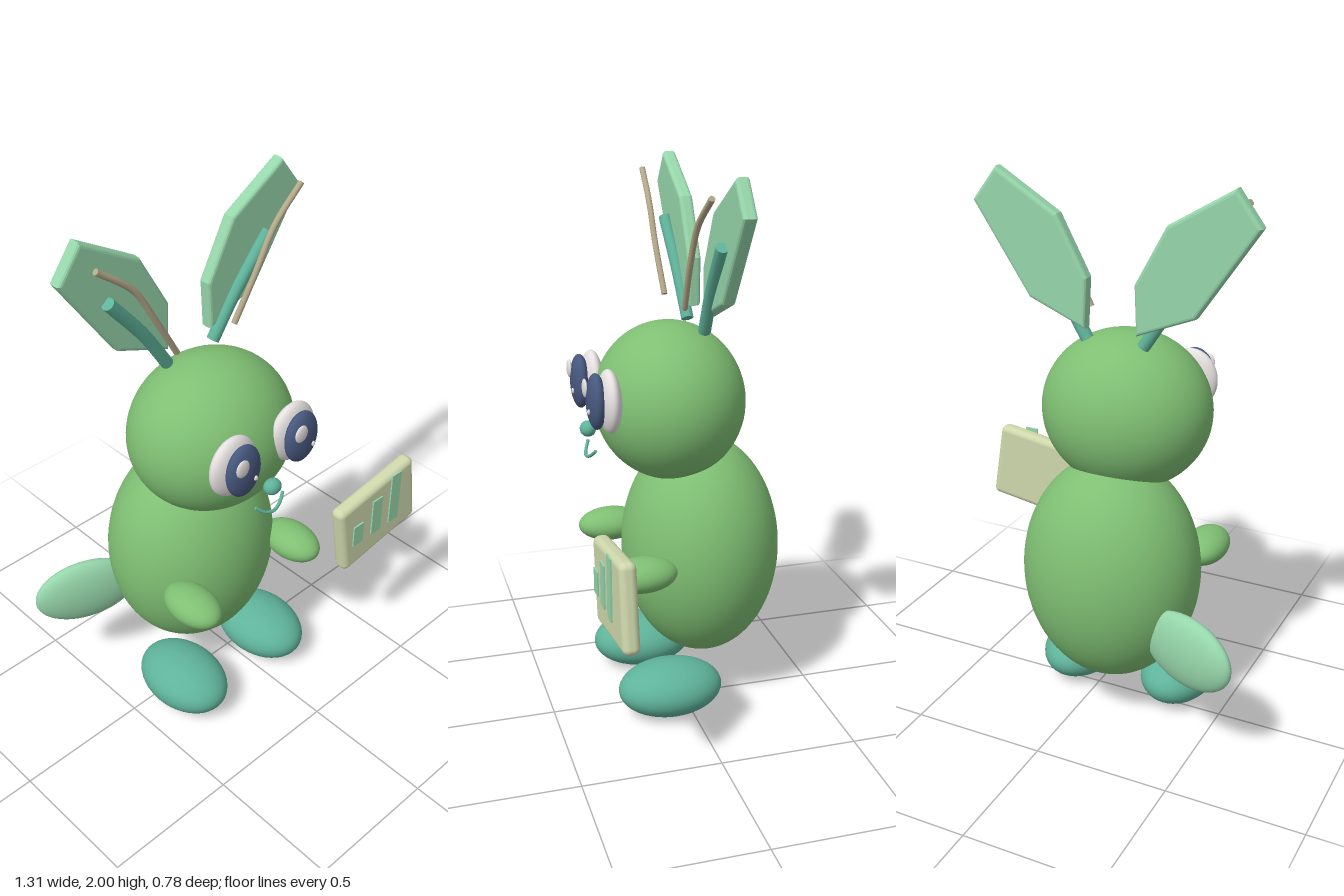
import * as THREE from 'three';
import { RoundedBoxGeometry } from 'three/addons/geometries/RoundedBoxGeometry.js';

const paint = (name, color) => {
  const m = new THREE.MeshStandardMaterial({ color });
  m.name = name;
  return m;
};

export function createModel() {
  const green = paint('leafGreen', 0x7fbf73);
  const teal = paint('teal', 0x5fb39a);
  const mint = paint('mint', 0x96d6aa);
  const white = paint('eyeWhite', 0xe6e0e0);
  const navy = paint('navy', 0x47587f);
  const cream = paint('cream', 0xcfd8ac);
  const tan = paint('tan', 0xb5a98a);

  const MID = -0.1; // symmetry line of the animal
  const model = new THREE.Group();
  model.name = 'rabbit';

  const add = (name, geometry, material, pos = [0, 0, 0]) => {
    const mesh = new THREE.Mesh(geometry, material);
    mesh.name = name;
    mesh.position.set(...pos);
    model.add(mesh);
    return mesh;
  };
  const ball = (name, material, pos, radii, segments = 40) => {
    const g = new THREE.SphereGeometry(1, segments, Math.round(segments * 0.7));
    g.scale(...radii);
    return add(name, g, material, pos);
  };
  // Tube through points, closed by flat discs at both ends
  const tube = (name, material, points, radius) => {
    const curve = new THREE.CatmullRomCurve3(points.map((p) => new THREE.Vector3(...p)));
    add(name, new THREE.TubeGeometry(curve, 24, radius, 12), material);
    for (const t of [0, 1]) {
      const cap = add(name + 'End', new THREE.CircleGeometry(radius, 12), material, curve.getPoint(t).toArray());
      const dir = curve.getTangent(t).multiplyScalar(t ? 1 : -1);
      cap.quaternion.setFromUnitVectors(new THREE.Vector3(0, 0, 1), dir);
    }
  };

  // Body, head and tail
  ball('body', green, [MID, 0.591, -0.097], [0.328, 0.424, 0.294], 56);
  ball('head', green, [MID, 1.165, 0.02], [0.31, 0.288, 0.274], 56);
  ball('tail', mint, [-0.475, 0.434, -0.28], [0.2, 0.135, 0.053]).rotation.y = -0.36;

  // Ear outline, measured from the symmetry line and slightly inset for the bevel
  const outline = [[0.425, 1.985], [0.502, 1.883], [0.297, 1.578], [0.105, 1.497], [0.1, 1.655], [0.208, 1.855]];
  const bevel = 0.013;

  for (const s of [-1, 1]) {
    const side = s > 0 ? 'left' : 'right';
    const at = (d) => MID + s * d;

    // Limbs
    ball(side + 'Foot', teal, [at(0.207), 0.11, 0.077], [0.14, 0.103, 0.195]);
    ball(side + 'Arm', green, [at(0.253), 0.6, 0.189], [0.082, 0.063, 0.126]);

    // Eye with catchlights, which sit on the same side of both pupils
    ball(side + 'Eye', white, [at(0.14), 1.217, 0.274], [0.1, 0.114, 0.04]);
    const px = at(0.136);
    ball(side + 'Pupil', navy, [px, 1.22, 0.32], [0.073, 0.1, 0.034]);
    ball(side + 'Catchlight', white, [px - 0.033, 1.262, 0.352], [0.029, 0.033, 0.009], 20);
    ball(side + 'SmallCatchlight', white, [px + 0.027, 1.193, 0.352], [0.008, 0.01, 0.006], 12);

    // Ear plate with its stem and vein
    const pts = outline.map(([d, y]) => new THREE.Vector2(at(d), y));
    const ear = new THREE.ExtrudeGeometry(new THREE.Shape(pts), {
      depth: 0.05 - 2 * bevel, bevelThickness: bevel, bevelSize: bevel, bevelSegments: 3,
    });
    add(side + 'Ear', ear, mint, [0, 0, -0.127 + bevel]);
    tube(side + 'EarStem', teal, [[at(0.105), 1.435, -0.08], [at(0.208), 1.594, -0.072], [at(0.35), 1.77, -0.063]], 0.023);
    tube(side + 'EarVein', tan,
      [[at(0.13), 1.525, 0], [at(0.222), 1.69, 0.008], [at(0.305), 1.83, 0.008], [at(0.435), 1.94, 0]], 0.011);
  }

  // Nose and smile
  ball('nose', teal, [MID, 1.08, 0.323], [0.034, 0.029, 0.029], 24);
  tube('mouth', teal, [[MID - 0.066, 1.014, 0.31], [MID - 0.035, 0.988, 0.325], [MID, 0.979, 0.332],
    [MID + 0.035, 0.988, 0.325], [MID + 0.066, 1.014, 0.31]], 0.006);

  // Tilted board with three chart bars
  add('board', new RoundedBoxGeometry(0.408, 0.308, 0.06, 4, 0.024), cream, [0.43, 0.677, 0.352]).rotation.z = 0.152;
  [0.09, 0.157, 0.224].forEach((h, i) => {
    add('chartBar', new THREE.BoxGeometry(0.052, h, 0.006), mint, [0.3 + i * 0.1005, 0.62 + h / 2, 0.39]);
  });

  return model;
}
